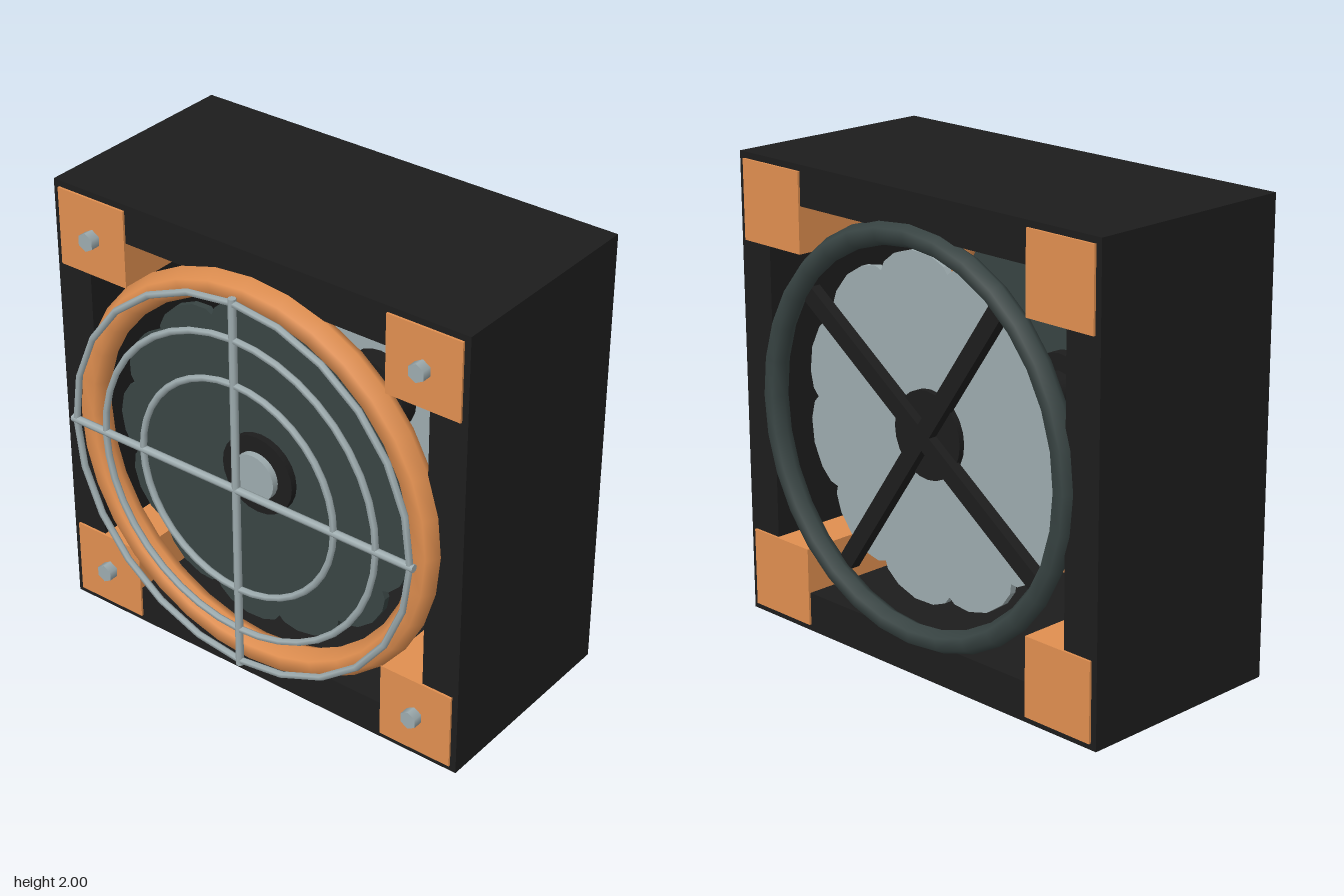
import * as THREE from 'three';

const mat = (name, color) => {
  const m = new THREE.MeshStandardMaterial({ color });
  m.name = name;
  return m;
};

export function createModel() {
  const root = new THREE.Group();
  const black = mat('black casing', 0x1d1d1d);
  const copper = mat('copper', 0xe08f50);
  const slate = mat('dark slate', 0x384443);
  const steel = mat('light steel', 0x9dabae);

  const add = (name, geo, material, x = 0, y = 0, z = 0, parent = root) => {
    const mesh = new THREE.Mesh(geo, material);
    mesh.name = name;
    mesh.position.set(x, y, z);
    parent.add(mesh);
    return mesh;
  };
  // cylinder lying along z between two depths
  const disc = (name, r, z0, z1, sides, material, x = 0, y = 1) =>
    add(name, new THREE.CylinderGeometry(r, r, z1 - z0, sides).rotateX(Math.PI / 2),
      material, x, y, (z0 + z1) / 2);

  // open box casing, four slabs
  const zMid = -0.05, depth = 0.965, wall = 0.17;
  for (const s of [-1, 1]) {
    add('sideWall', new THREE.BoxGeometry(wall, 2, depth), black, s * (1 - wall / 2), 1, zMid);
    add('topBottomWall', new THREE.BoxGeometry(2 - 2 * wall, wall, depth), black,
      0, 1 + s * (1 - wall / 2), zMid);
  }

  // corner blocks running through the casing, each with a hex bolt in front
  for (const sx of [-1, 1]) for (const sy of [-1, 1]) {
    add('cornerBlock', new THREE.BoxGeometry(0.34, 0.34, 0.985), copper,
      sx * 0.803, 1 + sy * 0.803, zMid);
    disc('cornerBolt', 0.04, 0.435, 0.485, 6, steel, sx * 0.8, 1 + sy * 0.8);
  }

  // intake and exhaust rings
  add('frontRing', new THREE.TorusGeometry(0.835, 0.065, 6, 32), copper, 0, 1, 0.435);
  add('backRing', new THREE.TorusGeometry(0.825, 0.05, 6, 32), slate, 0, 1, -0.525);

  // front grille: rings and cross bars
  const grille = new THREE.Group();
  grille.name = 'frontGrille';
  grille.position.set(0, 1, 0.55);
  root.add(grille);
  for (const r of [0.48, 0.68, 0.84])
    add('grilleRing', new THREE.TorusGeometry(r, 0.015, 6, r > 0.8 ? 24 : 40), steel, 0, 0, 0, grille);
  for (const a of [0, Math.PI / 2])
    add('grilleBar', new THREE.CylinderGeometry(0.017, 0.017, 1.72, 8), steel, 0, 0, 0, grille)
      .rotation.z = a;

  // hubs, cap and shaft
  disc('hub', 0.175, 0.3, 0.42, 24, black);
  disc('hubCap', 0.105, 0.4, 0.45, 24, steel);
  disc('shaft', 0.1, -0.4, 0.32, 16, black);
  disc('backHub', 0.185, -0.45, -0.3, 24, black);

  // flat fan wheel whose blades merge into a rim of slanted scallops
  const rotor = (name, count, z, lean, material) => {
    const tooth = [[0, 0.675], [0.06, 0.7], [0.25, 0.727], [0.5, 0.738], [0.75, 0.728], [0.92, 0.705]];
    const points = [];
    for (let i = 0; i < count; i++) for (const [t, r] of tooth) {
      const a = lean * (i + t) / count * Math.PI * 2;
      points.push(new THREE.Vector2(r * Math.cos(a), r * Math.sin(a)));
    }
    const geo = new THREE.ExtrudeGeometry(new THREE.Shape(points), { depth: 0.03, bevelEnabled: false });
    add(name, geo.translate(0, 0, -0.015), material, 0, 1, z);
  };
  rotor('frontRotor', 13, 0.375, 1, slate);
  rotor('backRotor', 11, -0.41, -1, steel);

  // crossed struts carrying the hub at the back
  for (const deg of [35, 125])
    add('backStrut', new THREE.BoxGeometry(1.6, 0.075, 0.05), black, 0, 1, -0.465)
      .rotation.z = THREE.MathUtils.degToRad(deg);

  return root;
}
